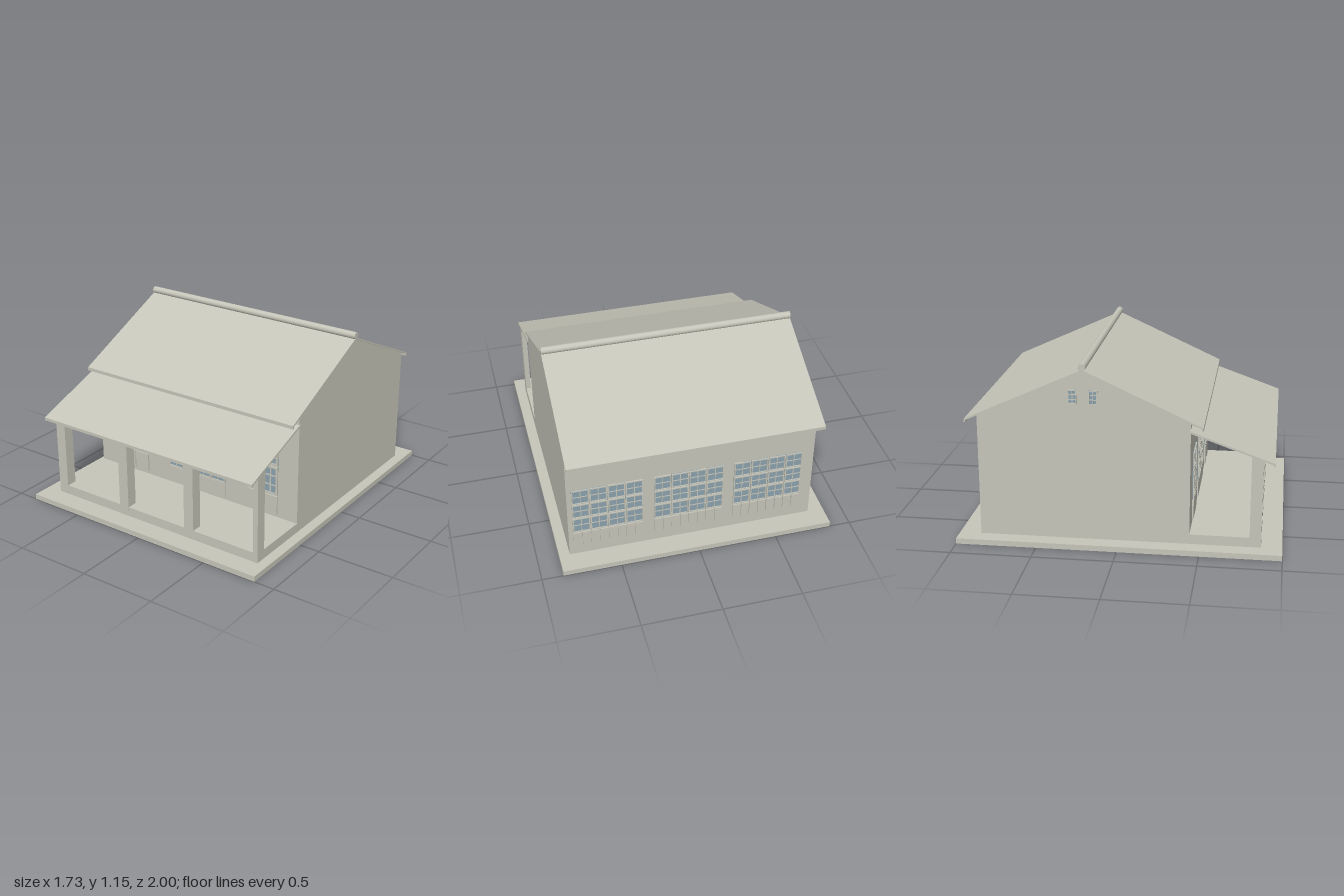
import * as THREE from 'three';

const mat = (name, color, extra = {}) => Object.assign(new THREE.MeshStandardMaterial({ color, ...extra }), { name });

export function createModel() {
  const house = new THREE.Group();
  house.name = 'house';
  const plaster = mat('plaster', 0xc5c5b9);
  const glass = mat('window glass', 0x8ba1ad);

  // Box given by its limits on each axis
  function box(parent, name, m, x0, x1, y0, y1, z0, z1) {
    const mesh = new THREE.Mesh(new THREE.BoxGeometry(x1 - x0, y1 - y0, z1 - z0), m);
    mesh.position.set((x0 + x1) / 2, (y0 + y1) / 2, (z0 + z1) / 2);
    mesh.name = name;
    parent.add(mesh);
    return mesh;
  }

  // Side profile of [z, y] points swept along x
  function sweep(name, points, x0, x1) {
    const shape = new THREE.Shape(points.map(([z, y]) => new THREE.Vector2(-z, y)));
    const geo = new THREE.ExtrudeGeometry(shape, { depth: x1 - x0, bevelEnabled: false });
    geo.rotateY(Math.PI / 2);
    geo.translate(x0, 0, 0);
    const mesh = new THREE.Mesh(geo, plaster);
    mesh.name = name;
    house.add(mesh);
  }

  // Framed pane facing +z, divided by glazing bars
  function pane(parent, x0, x1, y0, y1, cols, rows, frame, bar) {
    const g = new THREE.Group();
    g.name = 'windowSash';
    parent.add(g);
    const d = 0.009;
    box(g, 'glass', glass, x0, x1, y0, y1, -0.002, 0.003);
    box(g, 'frameLeft', plaster, x0, x0 + frame, y0, y1, -0.002, d);
    box(g, 'frameRight', plaster, x1 - frame, x1, y0, y1, -0.002, d);
    box(g, 'frameBottom', plaster, x0 + frame, x1 - frame, y0, y0 + frame, -0.002, d);
    box(g, 'frameTop', plaster, x0 + frame, x1 - frame, y1 - frame, y1, -0.002, d);
    for (let i = 1; i < cols; i++) {
      const x = x0 + ((x1 - x0) * i) / cols;
      box(g, 'verticalBar', plaster, x - bar / 2, x + bar / 2, y0 + frame, y1 - frame, 0, 0.006);
    }
    for (let i = 1; i < rows; i++) {
      const y = y0 + ((y1 - y0) * i) / rows;
      box(g, 'horizontalBar', plaster, x0 + frame, x1 - frame, y - bar / 2, y + bar / 2, 0, 0.006);
    }
  }

  // Two-leaf glazed door centred on x = 0
  function door() {
    const g = new THREE.Group();
    g.name = 'door';
    for (const x0 of [-0.107, 0.003]) {
      const x1 = x0 + 0.104;
      pane(g, x0, x1, 0.451, 0.555, 2, 2, 0.013, 0.009);
      pane(g, x0, x1, 0.25, 0.442, 2, 3, 0.013, 0.009);
      box(g, 'lowerPanel', plaster, x0, x1, 0.12, 0.242, -0.002, 0.009);
    }
    return g;
  }

  // Wide window of four leaves centred on x = 0
  function wideWindow(hasPanels) {
    const g = new THREE.Group();
    g.name = 'wideWindow';
    for (let i = 0; i < 4; i++) {
      const x0 = -0.22 + i * 0.111;
      const x1 = x0 + 0.107;
      pane(g, x0, x1, 0.447, 0.556, 2, 2, 0.007, 0.005);
      pane(g, x0, x1, 0.335, 0.441, 2, 2, 0.007, 0.005);
      pane(g, x0, x1, 0.22, 0.33, 2, 2, 0.007, 0.005);
      if (hasPanels) {
        box(g, 'lowerPanel', plaster, x0, x0 + 0.05, 0.115, 0.212, -0.002, 0.009);
        box(g, 'lowerPanel', plaster, x1 - 0.05, x1, 0.115, 0.212, -0.002, 0.009);
      }
    }
    if (!hasPanels) box(g, 'lowerPanel', plaster, -0.22, 0.22, 0.11, 0.215, -0.002, 0.006);
    return g;
  }

  // Ground slab and raised veranda floor
  const L = -0.763, R = 0.8;
  box(house, 'groundSlab', plaster, -0.866, 0.866, 0, 0.035, -1, 1);
  box(house, 'verandaFloor', plaster, L, R, 0.035, 0.097, 0.435, 0.87);

  // Main body with gable ends
  sweep('walls', [[0.435, 0.035], [0.435, 0.81], [-0.212, 1.106], [-0.865, 0.81], [-0.865, 0.035]], L, R);

  // Main roof with turned-down eaves
  sweep('mainRoof', [
    [0.512, 0.768], [0.512, 0.79], [-0.212, 1.12], [-0.937, 0.79], [-0.937, 0.768],
    [-0.927, 0.768], [-0.927, 0.782], [-0.212, 1.107], [0.502, 0.782], [0.502, 0.768],
  ], -0.793, 0.803);

  // Veranda roof
  sweep('verandaRoof', [
    [0.94, 0.567], [0.94, 0.587], [0.43, 0.768], [0.43, 0.755], [0.93, 0.578], [0.93, 0.567],
  ], -0.793, 0.803);

  // Ridge roll
  const ridge = new THREE.Mesh(new THREE.CylinderGeometry(0.023, 0.023, 1.596, 24), plaster);
  ridge.rotation.z = Math.PI / 2;
  ridge.position.set(0.005, 1.132, -0.212);
  ridge.name = 'ridgeRoll';
  house.add(ridge);

  // Veranda columns and the beam they carry
  for (const x of [L, -0.25, 0.26, 0.767]) {
    sweep('column', [[0.871, 0.035], [0.871, 0.6], [0.8, 0.625], [0.8, 0.035]], x, Math.min(x + 0.07, R));
  }
  sweep('verandaBeam', [[0.868, 0.572], [0.868, 0.6], [0.803, 0.623], [0.803, 0.572]], L + 0.002, R - 0.002);

  // Three bays on the front and back walls
  [-0.467, 0.041, 0.55].forEach((x, i) => {
    const front = i === 1 ? wideWindow(false) : door();
    front.position.set(x, 0, 0.436);
    const back = wideWindow(true);
    back.position.set(x, 0, -0.866);
    back.rotation.y = Math.PI;
    house.add(front, back);
  });

  // Two small vents high in the right gable
  for (const z of [-0.275, -0.15]) {
    const vent = new THREE.Group();
    vent.name = 'gableWindow';
    pane(vent, -0.028, 0.028, -0.045, 0.045, 2, 3, 0.007, 0.005);
    vent.position.set(L - 0.001, 0.945, z);
    vent.rotation.y = -Math.PI / 2;
    house.add(vent);
  }

  return house;
}
